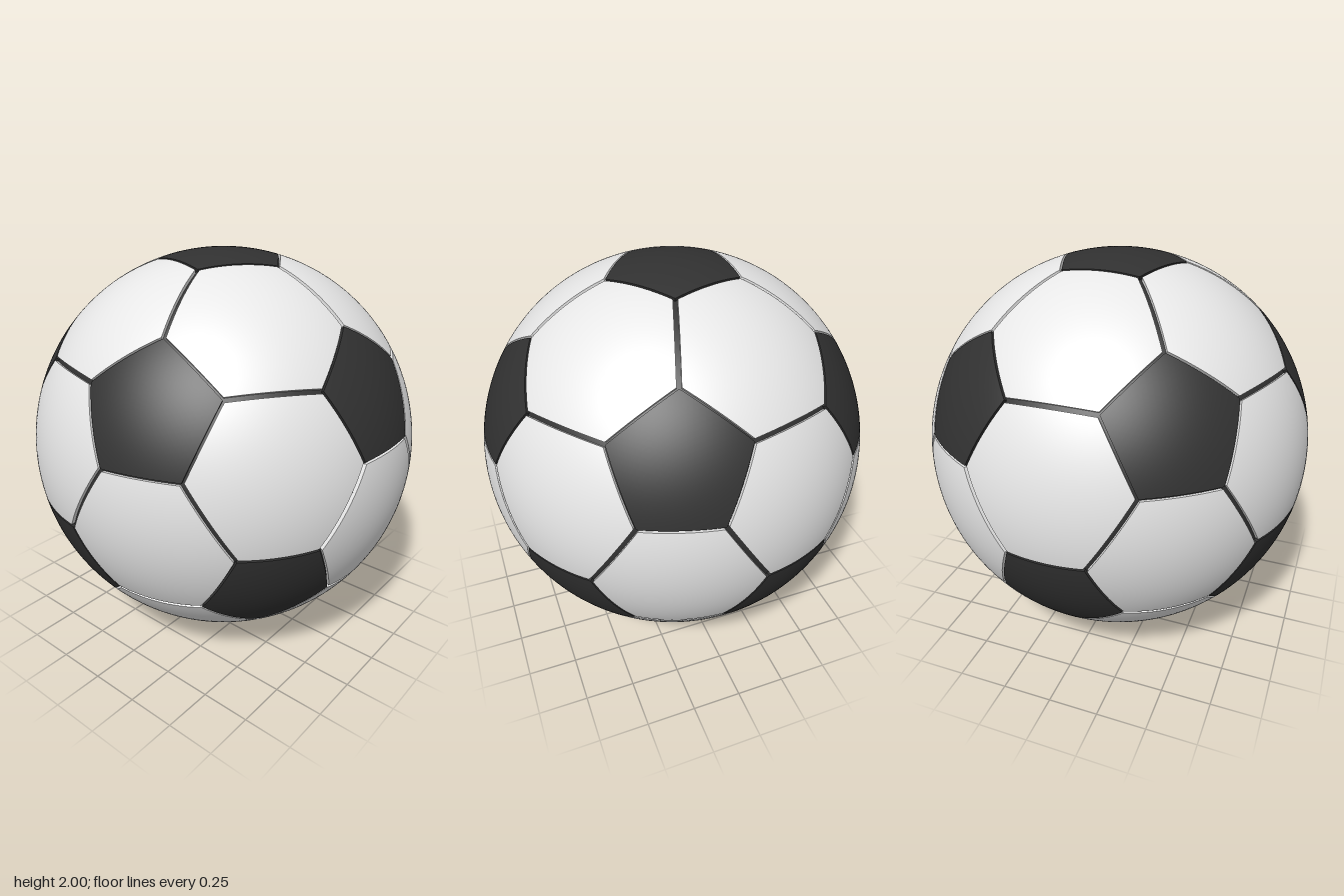
import * as THREE from 'three';

const SEGMENTS = 12;       // subdivisions along each panel edge
const CORE_RADIUS = 0.982; // floor of the seams
const WALL_RADIUS = 0.972; // panel walls sink just under the floor

// The 12 icosahedron directions: two poles and two staggered rings of five
function icosahedronDirections() {
  const dirs = [new THREE.Vector3(0, 1, 0), new THREE.Vector3(0, -1, 0)];
  const y = 1 / Math.sqrt(5), r = 2 / Math.sqrt(5);
  for (let i = 0; i < 10; i++) {
    const a = (i * Math.PI) / 5;
    dirs.push(new THREE.Vector3(r * Math.cos(a), i % 2 ? -y : y, r * Math.sin(a)));
  }
  return dirs;
}

// Corner of a panel, one third of the way from a to b
const third = (a, b) => a.clone().multiplyScalar(2).add(b).normalize();

// Raised spherical polygon; corners run counter-clockwise seen from outside,
// and each edge is moved inwards by its own inset
function panelGeometry(center, corners, insets) {
  const n = corners.length;
  const planes = corners.map((c, i) => new THREE.Vector3()
    .crossVectors(c, corners[(i + 1) % n]).normalize().addScaledVector(center, -insets[i]));
  const pts = planes.map((p, i) => new THREE.Vector3()
    .crossVectors(planes[(i + n - 1) % n], p).normalize());

  const position = [], normal = [];
  const triangle = (a, b, c, flat) => {
    for (const v of [a, b, c]) {
      position.push(v.x, v.y, v.z);
      const m = flat || v;
      normal.push(m.x, m.y, m.z);
    }
  };

  for (let e = 0; e < n; e++) {
    const a = pts[e], b = pts[(e + 1) % n];
    // Point in row i (from the centre out), step j along the row
    const at = (i, j) => center.clone().multiplyScalar(SEGMENTS - i)
      .addScaledVector(a, i - j).addScaledVector(b, j).normalize();
    for (let i = 0; i < SEGMENTS; i++) {
      for (let j = 0; j <= i; j++) {
        triangle(at(i, j), at(i + 1, j), at(i + 1, j + 1));
        if (j < i) triangle(at(i, j), at(i + 1, j + 1), at(i, j + 1));
      }
    }
    // Side wall down into the seam
    const out = new THREE.Vector3().crossVectors(b, a).normalize();
    for (let j = 0; j < SEGMENTS; j++) {
      const p = at(SEGMENTS, j), q = at(SEGMENTS, j + 1);
      const p0 = p.clone().multiplyScalar(WALL_RADIUS);
      const q0 = q.clone().multiplyScalar(WALL_RADIUS);
      triangle(p, p0, q0, out);
      triangle(p, q0, q, out);
    }
  }
  const geometry = new THREE.BufferGeometry();
  geometry.setAttribute('position', new THREE.Float32BufferAttribute(position, 3));
  geometry.setAttribute('normal', new THREE.Float32BufferAttribute(normal, 3));
  return geometry;
}

export function createModel() {
  const white = new THREE.MeshStandardMaterial({ color: 0xe8e8e8 });
  white.name = 'white leather';
  const black = new THREE.MeshStandardMaterial({ color: 0x313131 });
  black.name = 'black leather';

  const ball = new THREE.Group();
  ball.name = 'ball';
  const add = (name, geometry, material) => {
    const mesh = new THREE.Mesh(geometry, material);
    mesh.name = name;
    mesh.position.y = 1;
    ball.add(mesh);
  };

  // Dark core showing through the seams
  add('seamCore', new THREE.SphereGeometry(CORE_RADIUS, 96, 64), black);

  const dirs = icosahedronDirections();
  const adjacent = (a, b) => Math.abs(a.dot(b) - 1 / Math.sqrt(5)) < 0.01;

  // Twelve pentagons, one on each direction
  for (const d of dirs) {
    const near = dirs.filter((o) => adjacent(d, o));
    const u = near[0].clone().addScaledVector(d, -near[0].dot(d)).normalize();
    const v = new THREE.Vector3().crossVectors(d, u);
    const angle = (p) => Math.atan2(p.dot(v), p.dot(u));
    near.sort((p, q) => angle(p) - angle(q));
    add('pentagonPanel', panelGeometry(d, near.map((o) => third(d, o)), Array(5).fill(0.016)), black);
  }

  // Twenty hexagons, one on each triple of neighbouring directions
  for (let i = 0; i < 12; i++) for (let j = i + 1; j < 12; j++) for (let k = j + 1; k < 12; k++) {
    let [a, b, c] = [dirs[i], dirs[j], dirs[k]];
    if (!adjacent(a, b) || !adjacent(b, c) || !adjacent(a, c)) continue;
    if (new THREE.Vector3().crossVectors(a, b).dot(c) < 0) [b, c] = [c, b];
    const center = a.clone().add(b).add(c).normalize();
    const corners = [third(a, b), third(b, a), third(b, c), third(c, b), third(c, a), third(a, c)];
    // Wide seams between hexagons, close fit around the pentagons
    add('hexagonPanel', panelGeometry(center, corners, [0.012, -0.005, 0.012, -0.005, 0.012, -0.005]), white);
  }
  return ball;
}
